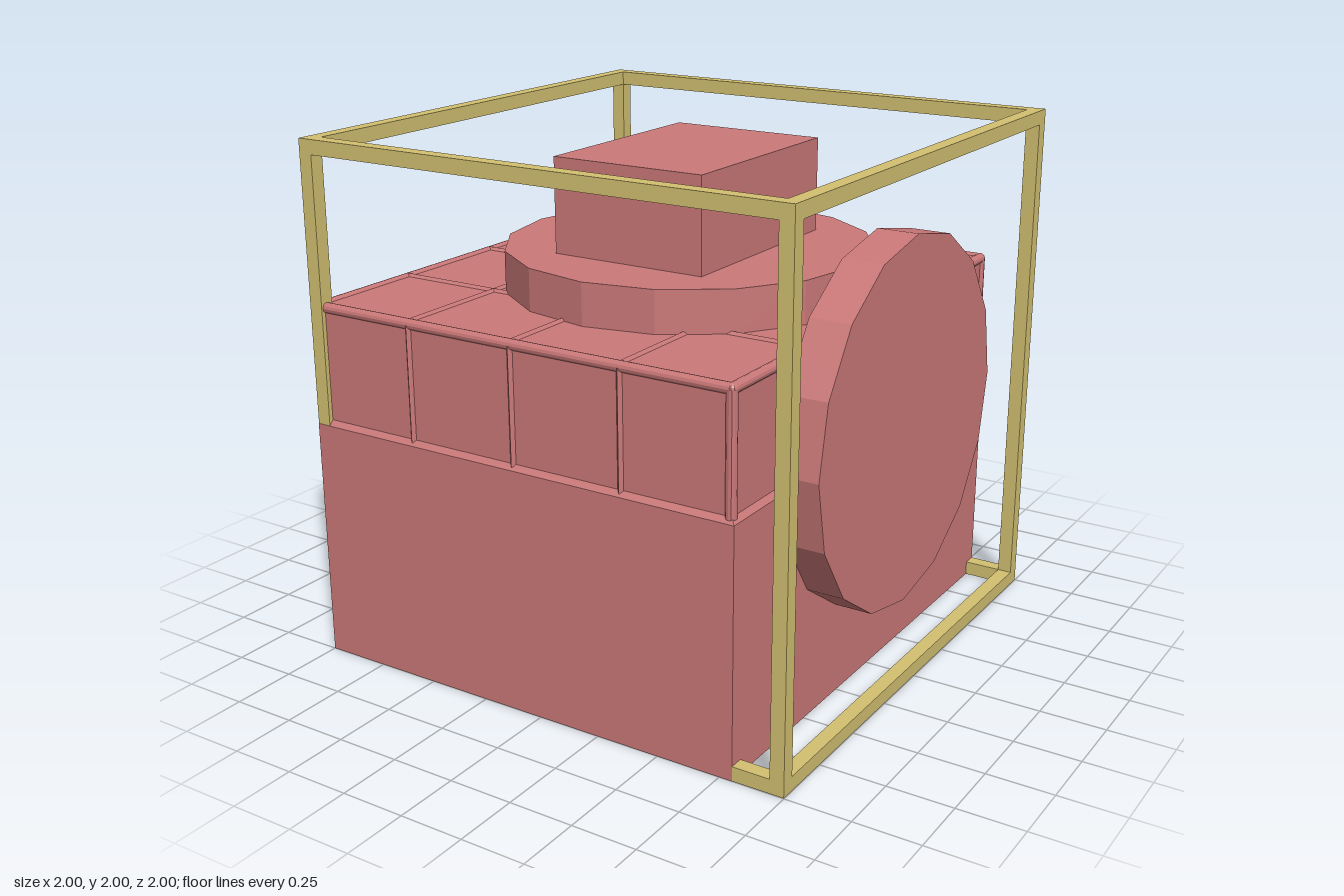
import * as THREE from 'three';

export function createModel() {
  const model = new THREE.Group();
  const rose = new THREE.MeshStandardMaterial({ color: 0xca7878, flatShading: true });
  rose.name = 'rose';
  const brass = new THREE.MeshStandardMaterial({ color: 0xd2c070, flatShading: true });
  brass.name = 'brass';

  const add = (name, geometry, material, x, y, z, parent = model) => {
    const mesh = new THREE.Mesh(geometry, material);
    mesh.name = name;
    mesh.position.set(x, y, z);
    parent.add(mesh);
    return mesh;
  };
  const box = (name, w, h, d, x, y, z, material = rose, parent = model) =>
    add(name, new THREE.BoxGeometry(w, h, d), material, x, y, z, parent);

  // Lower block, with a sloping ledge up to the slightly inset upper block
  const cx = -0.1;
  box('lowerBody', 1.8, 0.93, 2, cx, 0.465, 0);
  const ledge = new THREE.BoxGeometry(1.8, 0.02, 2);
  const p = ledge.attributes.position;
  for (let i = 0; i < p.count; i++) {
    if (p.getY(i) > 0) p.setXYZ(i, p.getX(i) * 0.98, p.getY(i), p.getZ(i) * 0.982);
  }
  ledge.computeVertexNormals();
  add('ledge', ledge, rose, cx, 0.94, 0);
  box('upperBody', 1.764, 0.45, 1.964, cx, 1.165, 0);

  // Rounded trim along the top edges and upright corners
  const trim = new THREE.Group();
  trim.name = 'trim';
  model.add(trim);
  const r = 0.02, ex = 0.873, ez = 0.973;
  const rod = (length, x, y, z, axis) => {
    const m = add('trimRod', new THREE.CylinderGeometry(r, r, length, 12), rose, x, y, z, trim);
    if (axis === 'x') m.rotation.z = Math.PI / 2;
    if (axis === 'z') m.rotation.x = Math.PI / 2;
  };
  for (const s of [-1, 1]) {
    rod(ex * 2, cx, 1.38, s * ez, 'x');
    rod(ez * 2, cx + s * ex, 1.38, 0, 'z');
    for (const t of [-1, 1]) {
      rod(0.44, cx + s * ex, 1.16, t * ez, 'y');
      add('trimCorner', new THREE.SphereGeometry(r, 10, 8), rose, cx + s * ex, 1.38, t * ez, trim);
    }
  }

  // Thin square rods, half sunk into the faces, divide the panels
  const ribs = new THREE.Group();
  ribs.name = 'panelRibs';
  model.add(ribs);
  const rib = (length, x, y, z, axis) => {
    const m = add('rib', new THREE.CylinderGeometry(0.012, 0.012, length, 4), rose, x, y, z, ribs);
    if (axis === 'x') m.rotation.z = Math.PI / 2;
    if (axis === 'z') m.rotation.x = Math.PI / 2;
  };
  for (const x of [-0.55, -0.1, 0.35]) {
    rib(1.94, x, 1.389, 0, 'z');
    for (const s of [-1, 1]) rib(0.44, x, 1.16, s * 0.982, 'y');
  }
  for (const z of [-0.5, 0, 0.5]) {
    rib(1.74, cx, 1.389, z, 'x');
    for (const s of [-1, 1]) rib(0.44, cx + s * 0.882, 1.16, z, 'y');
  }

  // Sixteen-sided discs on the top and the side, and the block above
  const disc = () => new THREE.CylinderGeometry(0.7, 0.7, 0.16, 16);
  add('topDisc', disc(), rose, 0, 1.47, 0);
  add('sideDisc', disc(), rose, 0.863, 1, 0).rotation.z = -Math.PI / 2;
  box('topBlock', 0.63, 0.37, 0.84, 0, 1.725, 0);

  // Open cube frame, a hair inside the faces of the lower block
  const frame = new THREE.Group();
  frame.name = 'cubeFrame';
  model.add(frame);
  const t = 0.055, half = 0.9993, c = half - t / 2, inner = 2 * (half - t);
  for (const a of [-1, 1]) {
    for (const b of [-1, 1]) {
      box('framePost', t, half * 2, t, a * c, 1, b * c, brass, frame);
      box('frameBarAcross', inner, t, t, 0, 1 + a * c, b * c, brass, frame);
      box('frameBarDeep', t, t, inner, a * c, 1 + b * c, 0, brass, frame);
    }
  }
  return model;
}
